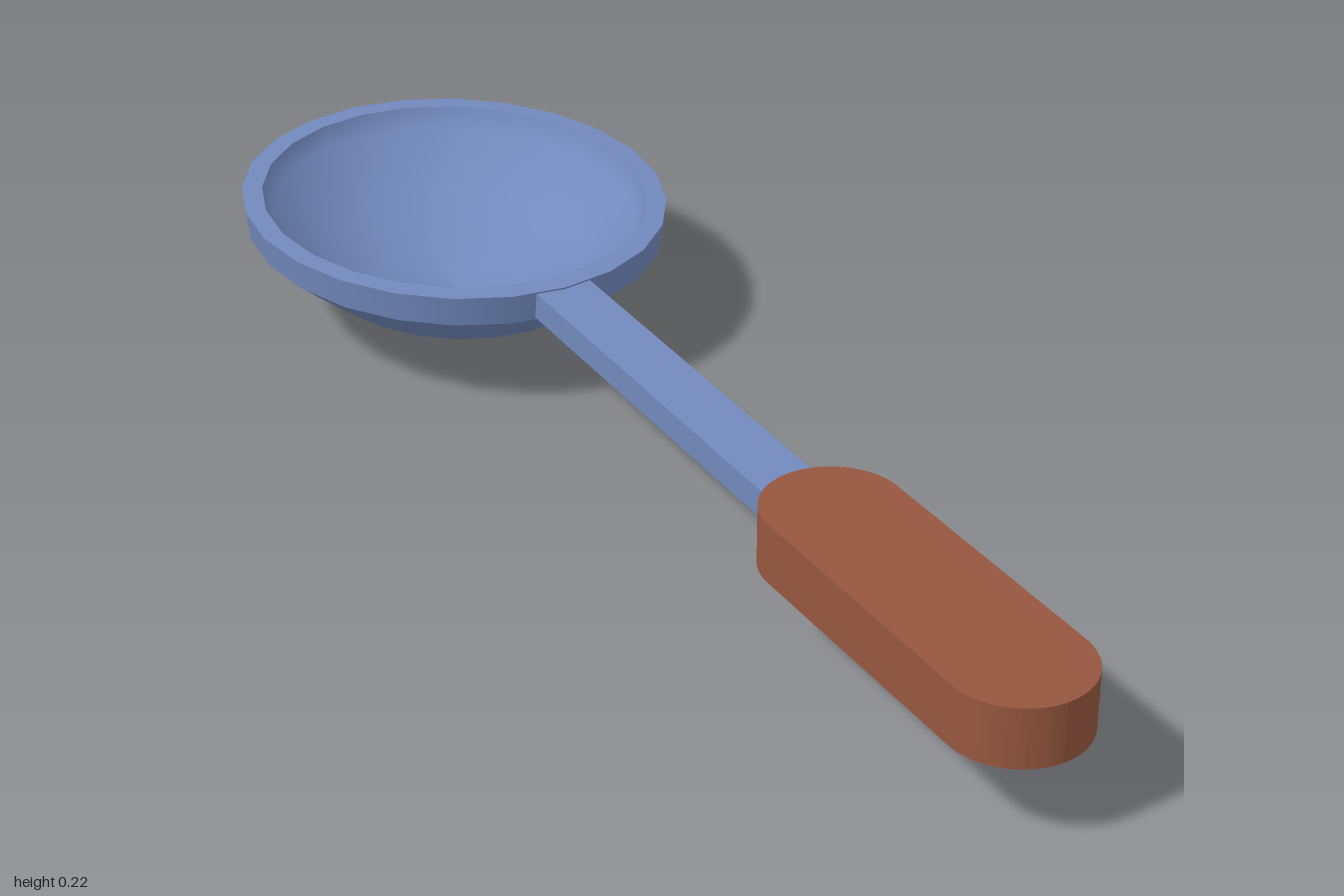
import * as THREE from 'three';

export function createModel() {
  const model = new THREE.Group();
  const blue = new THREE.MeshStandardMaterial({ color: 0x7189bc });
  blue.name = 'blue metal';
  const brown = new THREE.MeshStandardMaterial({ color: 0x96573f });
  brown.name = 'brown grip';

  const add = (parent, name, geometry, material) => {
    const mesh = new THREE.Mesh(geometry, material);
    mesh.name = name;
    parent.add(mesh);
    return mesh;
  };

  // Bowl: oval lathe, one surface per smooth run so the rim edges stay sharp
  const bowl = new THREE.Group();
  bowl.name = 'bowl';
  bowl.position.z = -0.63;
  model.add(bowl);
  const runs = {
    bowlUnderside: [[0, 0], [0.12, 0.021], [0.222, 0.075], [0.317, 0.155]],
    bowlSide: [[0.317, 0.155], [0.323, 0.203]],
    bowlRim: [[0.323, 0.203], [0.292, 0.204]],
    bowlInside: [[0.292, 0.204], [0.28, 0.17], [0.2, 0.1], [0.105, 0.053], [0, 0.035]],
  };
  for (const [name, points] of Object.entries(runs)) {
    const profile = points.map(([r, y]) => new THREE.Vector2(r, y));
    const lathe = new THREE.LatheGeometry(profile, 24);
    lathe.scale(1, 1, 1.146);
    add(bowl, name, lathe, blue);
  }

  // Stem: flat bar with a very slight tilt, ending inside the rim
  const stem = add(model, 'stem', new THREE.BoxGeometry(0.09, 0.042, 0.7), blue);
  stem.position.set(0, 0.176, 0.07);
  stem.rotation.x = 0.01;

  // Grip: rounded-end slab laid flat
  const r = 0.1, half = 0.21;
  const outline = new THREE.Shape();
  outline.absarc(0, half, r, 0, Math.PI);
  outline.absarc(0, -half, r, Math.PI, Math.PI * 2);
  outline.closePath();
  const slab = new THREE.ExtrudeGeometry(outline, { depth: 0.089, bevelEnabled: false, curveSegments: 16 });
  slab.rotateX(-Math.PI / 2);
  add(model, 'grip', slab, brown).position.set(0, 0.127, 0.69);

  return model;
}
